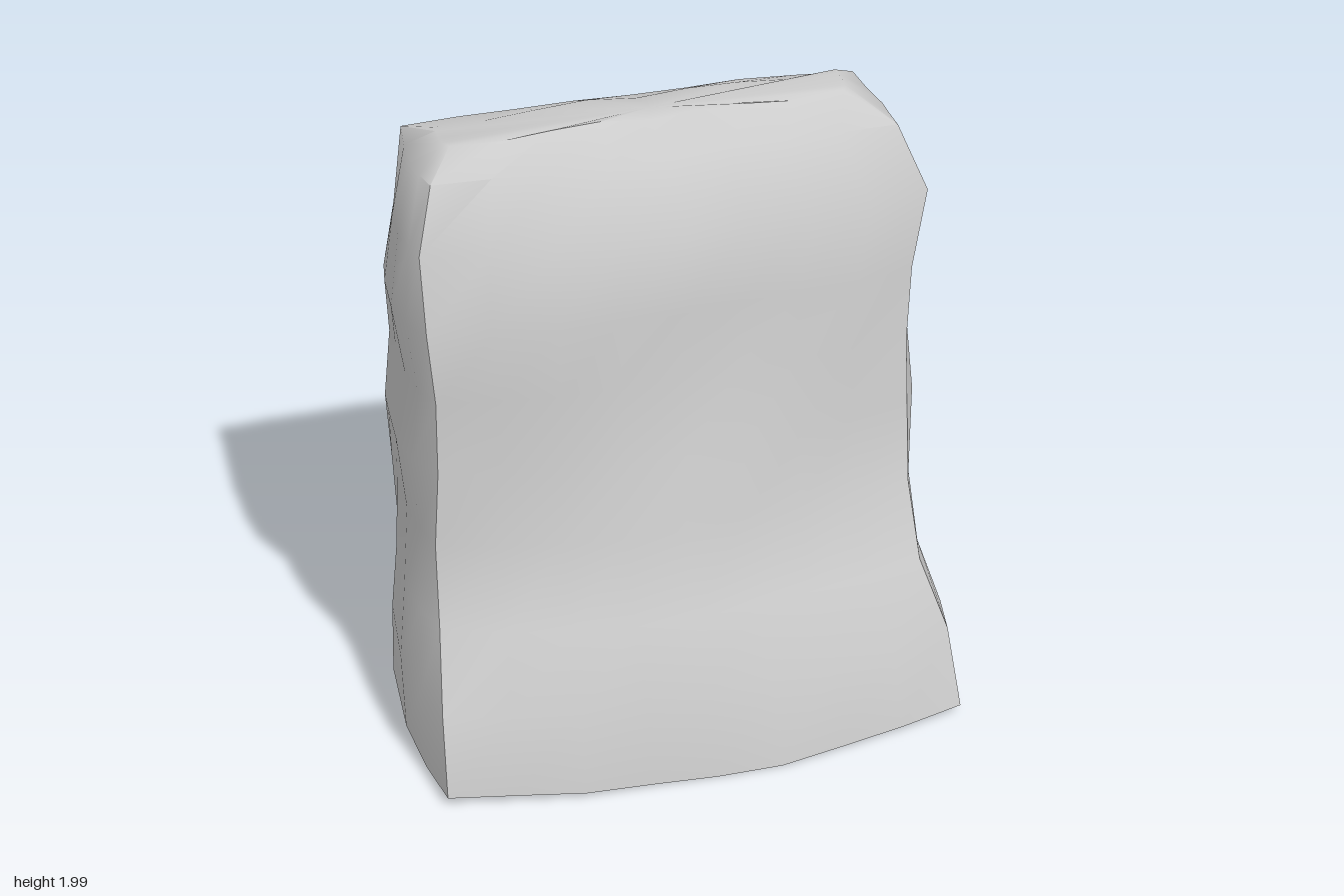
import * as THREE from 'three';
import { toCreasedNormals } from 'three/addons/utils/BufferGeometryUtils.js';

// Slab levels: [y, front z, back z, left x, right x], then corners as [x, z]:
// front left, front right, back right, back left (as seen from the front)
const LEVELS = [
  [[0.04, 0.51, -0.52, -0.88, 0.88], [-0.83, 0.41], [0.85, 0.42], [0.83, -0.45], [-0.82, -0.45]],
  [[0.30, 0.455, -0.505, -0.88, 0.87], [-0.82, 0.35], [0.82, 0.35], [0.81, -0.42], [-0.79, -0.43]],
  [[0.52, 0.35, -0.495, -0.84, 0.80], [-0.785, 0.19], [0.75, 0.25], [0.76, -0.38], [-0.79, -0.41]],
  [[0.77, 0.24, -0.45, -0.81, 0.785], [-0.77, 0.10], [0.73, 0.16], [0.74, -0.35], [-0.80, -0.40]],
  [[1.02, 0.215, -0.445, -0.83, 0.81], [-0.75, 0.09], [0.73, 0.12], [0.755, -0.355], [-0.81, -0.40]],
  [[1.25, 0.145, -0.415, -0.79, 0.78], [-0.74, 0.07], [0.73, 0.09], [0.745, -0.36], [-0.785, -0.39]],
  [[1.48, 0.15, -0.425, -0.82, 0.78], [-0.755, 0.07], [0.745, 0.07], [0.73, -0.365], [-0.79, -0.39]],
  [[1.70, 0.08, -0.42, -0.78, 0.81], [-0.75, -0.01], [0.81, 0.00], [0.73, -0.37], [-0.75, -0.38]],
  [[1.91, -0.025, -0.405, -0.725, 0.725], [-0.70, -0.055], [0.72, -0.045], [0.69, -0.37], [-0.715, -0.39]],
  [[1.99, -0.14, -0.29, -0.64, 0.60], [-0.62, -0.145], [0.58, -0.145], [0.60, -0.28], [-0.64, -0.28]],
];
const COLS = 8, SIDE_STEPS = [0.2, 0.45, 0.8], TOP = LEVELS.length - 1;
const lerp = THREE.MathUtils.lerp;
const wave = (a, b) => Math.sin(a * 2.7 + b * 1.9) * Math.cos(a * 1.3 - b * 3.1);

// Chips in the faces: [x, y, radius, depth]
const FRONT_CHIPS = [[0.2, 1.34, 0.22, 0.04]];
const BACK_CHIPS = [[0.03, 0.48, 0.24, 0.05], [-0.42, 0.77, 0.15, 0.05]];
const chip = (list, x, y) => list.reduce((sum, [cx, cy, r, d]) =>
  sum + d * Math.exp(-((x - cx) ** 2 + (y - cy) ** 2) / (r * r * 0.5)), 0);

// One ring of points, running front, right side, back, left side
function ring([[y, zFront, zBack, xLeft, xRight], fl, fr, br, bl], row) {
  const points = [];
  const rough = row === TOP ? 0 : 0.01;
  // A broad face bulging in z between two corners
  const face = (a, b, zMid, power, chipDepth, yFace) => {
    for (let i = 0; i <= COLS; i++) {
      const u = i / COLS, x = lerp(a[0], b[0], u);
      const z = lerp(zMid, lerp(a[1], b[1], u), Math.abs(2 * u - 1) ** power);
      points.push([x, yFace, z + rough * wave(i, row) + chipDepth(x)]);
    }
  };
  // A narrow side bulging in x between two corners
  const side = (a, b, xMid, steps) => {
    for (const v of steps) {
      const x = lerp(xMid, lerp(a[0], b[0], v), (2 * v - 1) ** 2);
      points.push([x, y, lerp(a[1], b[1], v)]);
    }
  };
  face(fl, fr, zFront, 2, x => -chip(FRONT_CHIPS, x, y), y);
  side(fr, br, xRight, SIDE_STEPS);
  face(br, bl, zBack, 3, x => chip(BACK_CHIPS, x, y), row === TOP - 1 ? y + 0.03 : y);
  side(bl, fl, xLeft, SIDE_STEPS.map(v => 1 - v).reverse());
  // Uneven base edge and worn top edge
  for (const p of points) {
    if (row === 0) p[1] -= 0.036 * Math.max(0, 1 - Math.abs(p[0] - 0.1) / 0.75) * (p[2] > 0 ? 1 : 0.5);
    if (row === TOP) p[1] -= 0.008 * Math.cos(p[0] * 15) + 0.06 * Math.max(0, -p[0] - 0.3);
  }
  return points;
}

function slabGeometry() {
  const rings = LEVELS.map(ring), n = rings[0].length;
  const positions = rings.flat(2), index = [];
  for (let r = 0; r < TOP; r++) {
    for (let j = 0; j < n; j++) {
      const a = r * n + j, b = r * n + (j + 1) % n;
      index.push(a, b, b + n, a, b + n, a + n);
    }
  }
  // Underside and top fans
  const centre = rings.length * n, last = TOP * n;
  positions.push(0, 0.03, 0, 0, 1.985, -0.215);
  for (let j = 0; j < n; j++) {
    const k = (j + 1) % n;
    index.push(centre, k, j, centre + 1, last + j, last + k);
  }
  const geometry = new THREE.BufferGeometry();
  geometry.setAttribute('position', new THREE.Float32BufferAttribute(positions, 3));
  geometry.setIndex(index);
  return toCreasedNormals(geometry, THREE.MathUtils.degToRad(45));
}

export function createModel() {
  const group = new THREE.Group();
  group.name = 'stoneSlab';
  const slab = new THREE.Mesh(slabGeometry(), new THREE.MeshStandardMaterial({ color: 0xcccccc }));
  slab.name = 'weatheredStone';
  group.add(slab);
  return group;
}
